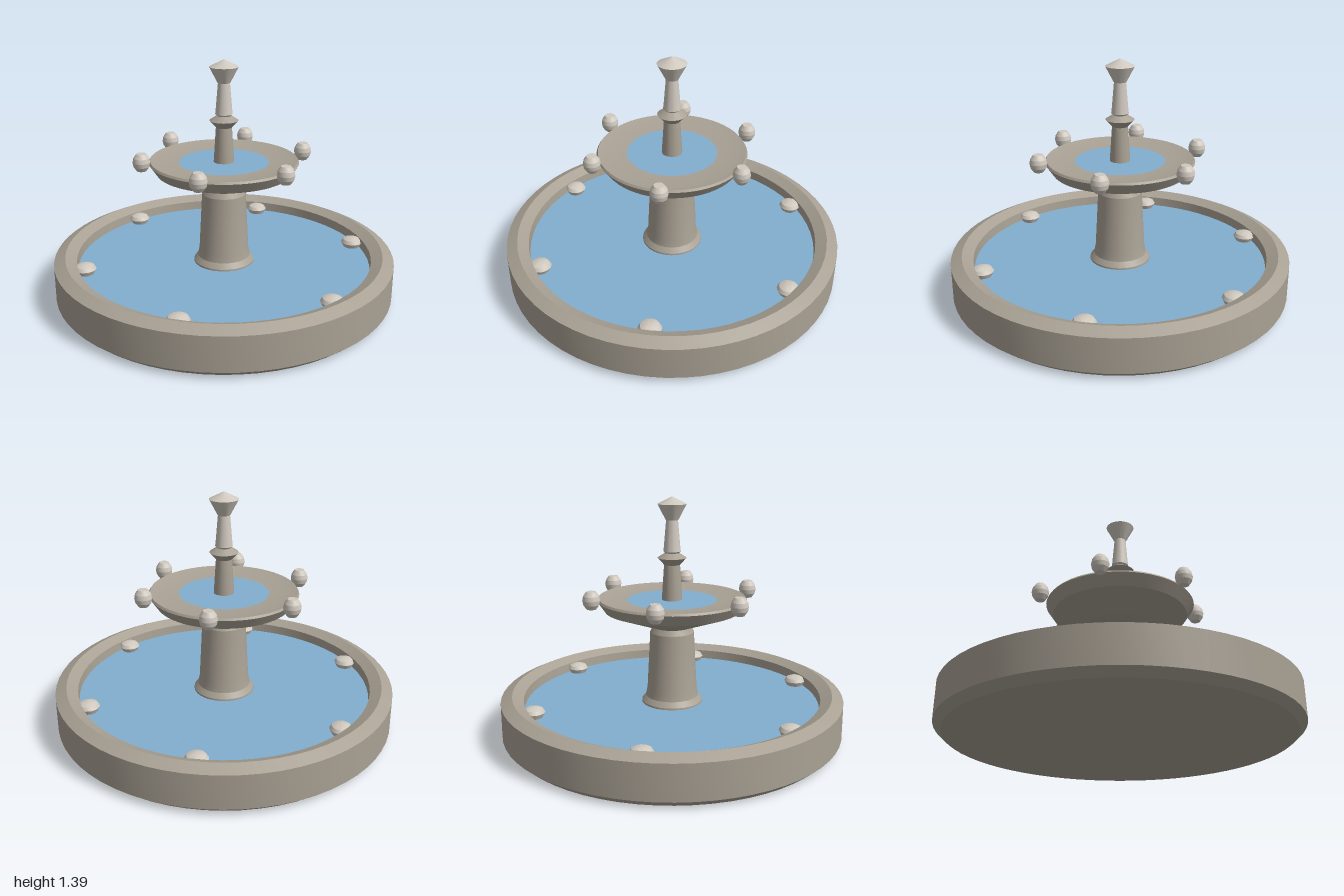
import * as THREE from 'three';
import { toCreasedNormals } from 'three/addons/utils/BufferGeometryUtils.js';

const material = (name, color) => {
  const m = new THREE.MeshStandardMaterial({ color });
  m.name = name;
  return m;
};

// Turned part: profile of [radius, height], running up the outside
function turned(name, profile, mat, segments = 48) {
  const points = profile.map(([r, y]) => new THREE.Vector2(r, y));
  const geometry = toCreasedNormals(new THREE.LatheGeometry(points, segments), 0.35);
  const mesh = new THREE.Mesh(geometry, mat);
  mesh.name = name;
  return mesh;
}

function waterDisc(name, radius, y, mat) {
  const mesh = new THREE.Mesh(new THREE.CircleGeometry(radius, 64), mat);
  mesh.name = name;
  mesh.rotation.x = -Math.PI / 2;
  mesh.position.y = y;
  return mesh;
}

export function createModel() {
  const stone = material('stone', 0xa9a194);
  const paleStone = material('pale stone', 0xcfc8be);
  const water = material('water', 0x82aecf);
  const model = new THREE.Group();
  model.name = 'fountain';

  // Lower basin with a bevelled rim
  model.add(turned('basin', [
    [0, 0], [0.955, 0], [1, 0.04], [1, 0.24], [0.935, 0.27],
    [0.87, 0.24], [0.86, 0.12], [0, 0.12],
  ], stone, 64));
  model.add(waterDisc('basinWater', 0.866, 0.185, water));

  // Column with a flared foot
  model.add(turned('column', [
    [0.18, 0.17], [0.178, 0.195], [0.155, 0.225], [0.146, 0.27],
    [0.128, 0.61], [0.11, 0.645],
  ], stone));

  // Upper bowl
  model.add(turned('upperBowl', [
    [0, 0.64], [0.11, 0.64], [0.39, 0.742], [0.433, 0.805], [0.425, 0.817],
    [0.38, 0.807], [0.26, 0.798], [0, 0.79],
  ], stone, 64));
  model.add(waterDisc('bowlWater', 0.26, 0.801, water));

  // Centre stem, collar and finial
  model.add(turned('lowerStem', [
    [0.06, 0.79], [0.046, 1.005], [0.083, 1.045], [0.042, 1.072], [0, 1.075],
  ], stone, 32));
  model.add(turned('upperStem', [
    [0.038, 1.07], [0.05, 1.082], [0.048, 1.095], [0.034, 1.26],
  ], paleStone, 32));
  model.add(turned('finial', [
    [0, 1.26], [0.036, 1.26], [0.083, 1.35], [0, 1.392],
  ], paleStone, 32));

  // Six water spouts in the basin and six balls around the bowl
  for (let i = 0; i < 6; i++) {
    const angle = i * Math.PI / 3;
    const spout = turned('basinSpout', [
      [0.042, 0.17], [0.064, 0.213], [0.052, 0.232], [0.03, 0.242], [0, 0.246],
    ], paleStone, 20);
    const ball = turned('bowlBall', [
      [0, 0.78], [0.028, 0.78], [0.045, 0.805], [0.05, 0.83],
      [0.045, 0.855], [0.028, 0.88], [0, 0.88],
    ], paleStone, 20);
    spout.position.set(0.825 * Math.cos(angle), 0, 0.825 * Math.sin(angle));
    ball.position.set(0.478 * Math.cos(angle), 0, 0.478 * Math.sin(angle));
    model.add(spout, ball);
  }
  return model;
}
